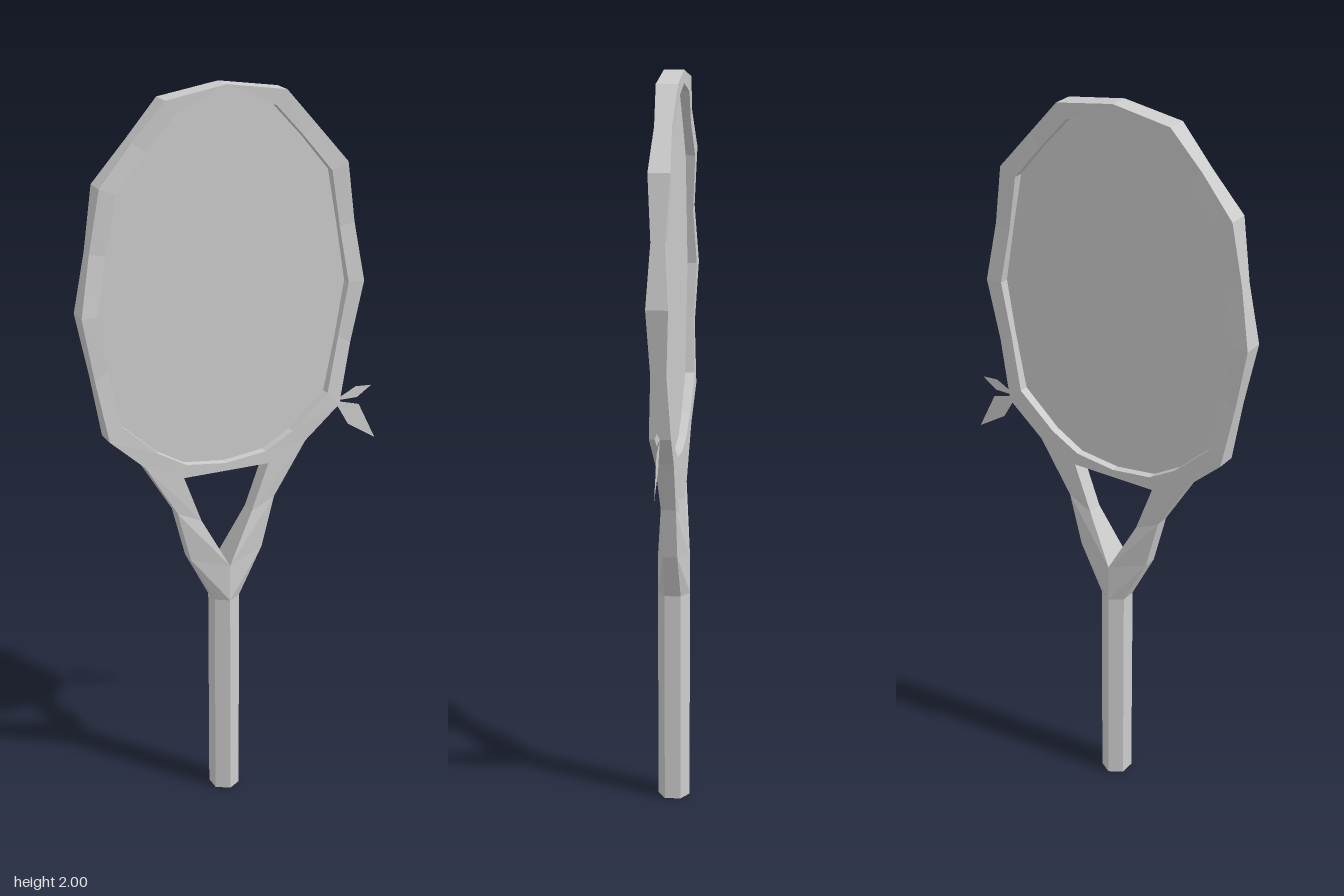
import * as THREE from 'three';

const grey = new THREE.MeshStandardMaterial({ color: 0xcccccc, flatShading: true });
const greyThin = new THREE.MeshStandardMaterial({ color: 0xcccccc, flatShading: true, side: THREE.DoubleSide });

// Half outlines as [x, y, half depth], running from the top down the +x side
const headOuter = [
  [0, 2, 0.026], [0.165, 1.974, 0.028], [0.252, 1.878, 0.022], [0.342, 1.774, 0.028],
  [0.369, 1.61, 0.018], [0.397, 1.449, 0.028], [0.364, 1.28, 0.02], [0.331, 1.11, 0.028],
  [0.232, 1.02, 0.024], [0.123, 0.972, 0.022], [0, 0.972, 0.022],
];
const headInner = [
  [0, 1.966, 0.026], [0.136, 1.937, 0.026], [0.217, 1.85, 0.022], [0.297, 1.754, 0.026],
  [0.326, 1.6, 0.018], [0.352, 1.449, 0.026], [0.327, 1.3, 0.02], [0.296, 1.147, 0.026],
  [0.194, 1.054, 0.024], [0.115, 1.008, 0.022], [0, 0.994, 0.022],
];
const legOuter = [[0.232, 1.02, 0.024], [0.142, 0.872, 0.02], [0.105, 0.729, 0.02], [0.036, 0.596, 0.022]];
const legInner = [[0.123, 0.972, 0.022], [0.074, 0.84, 0.022], [0, 0.7, 0.044], [0, 0.596, 0.044]];

// Mirrored solid band between two outlines; listed segments get no outer / inner wall
function band(name, outer, inner, openOuter, openInner) {
  const pos = [];
  for (const side of [1, -1]) {
    const point = ([x, y, d], face) => [x * side, y, d * face];
    const quad = (a, b, c, d) => {
      const order = side > 0 ? [a, b, c, a, c, d] : [a, c, b, a, d, c];
      order.forEach((p) => pos.push(...p));
    };
    for (let i = 0; i < outer.length - 1; i++) {
      const [of, ob, pf, pb] = [outer[i], outer[i + 1]].flatMap((p) => [point(p, 1), point(p, -1)]);
      const [nf, nb, mf, mb] = [inner[i], inner[i + 1]].flatMap((p) => [point(p, 1), point(p, -1)]);
      quad(of, nf, mf, pf);
      quad(ob, pb, mb, nb);
      if (!openOuter.includes(i)) quad(of, pf, pb, ob);
      if (!openInner.includes(i)) quad(nf, nb, mb, mf);
    }
  }
  const geo = new THREE.BufferGeometry();
  geo.setAttribute('position', new THREE.Float32BufferAttribute(pos, 3));
  geo.computeVertexNormals();
  const mesh = new THREE.Mesh(geo, grey);
  mesh.name = name;
  return mesh;
}

// Flat sheet from an outline
function sheet(name, points) {
  const shape = new THREE.Shape(points.map(([x, y]) => new THREE.Vector2(x, y)));
  const mesh = new THREE.Mesh(new THREE.ShapeGeometry(shape), greyThin);
  mesh.name = name;
  return mesh;
}

export function createModel() {
  const racket = new THREE.Group();
  racket.name = 'racket';

  // Head hoop with bridge, and the forked throat
  racket.add(band('headFrame', headOuter, headInner, [8], []));
  racket.add(band('throat', legOuter, legInner, [], [2]));

  // String bed
  const mirrored = headInner.slice(1, -1).reverse().map(([x, y]) => [-x, y]);
  racket.add(sheet('stringBed', [...headInner, ...mirrored]));

  // Hexagonal handle
  const handle = new THREE.Mesh(new THREE.CylinderGeometry(0.044, 0.044, 0.596, 6), grey);
  handle.scale.x = 0.95;
  handle.position.y = 0.298;
  handle.name = 'handle';
  racket.add(handle);

  // Ribbon tails tied to the hoop
  racket.add(sheet('ribbonShort', [[0.331, 1.11], [0.4, 1.11], [0.443, 1.139], [0.395, 1.142]]));
  racket.add(sheet('ribbonLong', [[0.331, 1.11], [0.374, 1.036], [0.458, 0.983], [0.406, 1.089]]));

  racket.position.x = -0.033;
  const model = new THREE.Group();
  model.add(racket);
  return model;
}
